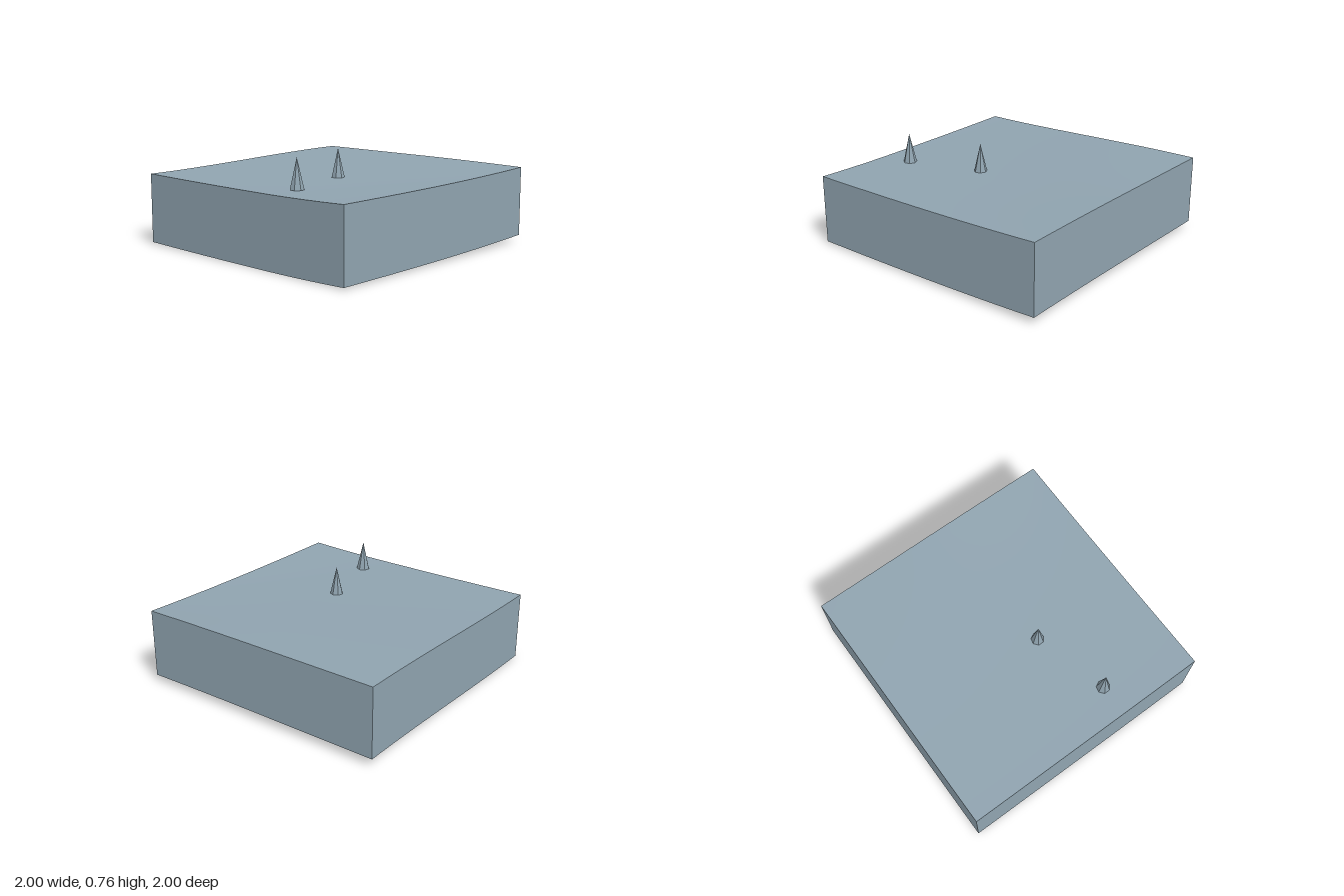
import * as THREE from 'three';

const DEPTH = 0.53; // constant drop of the side walls
const SEGMENTS = 24;

// gentle ground: a slight hollow at the front rising to the back
function groundHeight(x, z) {
  const front = 0.531 + 0.026 * (x - 0.3) ** 2 * (x > 0.3 ? 1.1 : 0.25);
  const back = x > 0 ? 0.591 - 0.01 * x * x : 0.591;
  const t = THREE.MathUtils.clamp((1 - z) / 2, 0, 1);
  const convex = t * t * (0.4 + 0.6 * t);
  const eased = t * t * (3 - 2 * t);
  const rise = THREE.MathUtils.lerp(eased, convex, (x + 1) / 2);
  return THREE.MathUtils.lerp(front, back, rise);
}

export function createModel() {
  const group = new THREE.Group();
  const slate = new THREE.MeshStandardMaterial({ color: 0x90a4b0, side: THREE.DoubleSide });
  slate.name = 'slate blue';

  function add(name, geometry) {
    const mesh = new THREE.Mesh(geometry, slate);
    mesh.name = name;
    group.add(mesh);
    return mesh;
  }

  // rolling ground sheet
  const ground = new THREE.PlaneGeometry(2, 2, SEGMENTS, SEGMENTS).rotateX(-Math.PI / 2);
  const p = ground.attributes.position;
  for (let i = 0; i < p.count; i++) p.setY(i, groundHeight(p.getX(i), p.getZ(i)));
  ground.computeVertexNormals();
  add('ground', ground);

  // four open walls whose lower edge follows the ground
  ['frontWall', 'leftWall', 'backWall', 'rightWall'].forEach((name, side) => {
    const wall = new THREE.PlaneGeometry(2, 1, SEGMENTS, 1);
    wall.translate(0, 0, 1).rotateY(side * Math.PI / 2);
    const w = wall.attributes.position;
    for (let i = 0; i < w.count; i++) {
      const top = groundHeight(w.getX(i), w.getZ(i));
      w.setY(i, w.getY(i) > 0 ? top : top - DEPTH);
    }
    add(name, wall);
  });

  // seven-sided spikes, slightly sunk in the ground
  const facets = new THREE.ConeGeometry(0.052, 0.225, 7).rotateY(Math.PI).toNonIndexed();
  facets.computeVertexNormals();
  [['middleSpike', 0.165, 0.165], ['frontSpike', 0.33, 0.75]].forEach(([name, x, z]) => {
    add(name, facets).position.set(x, 0.6475, z);
  });

  return group;
}
